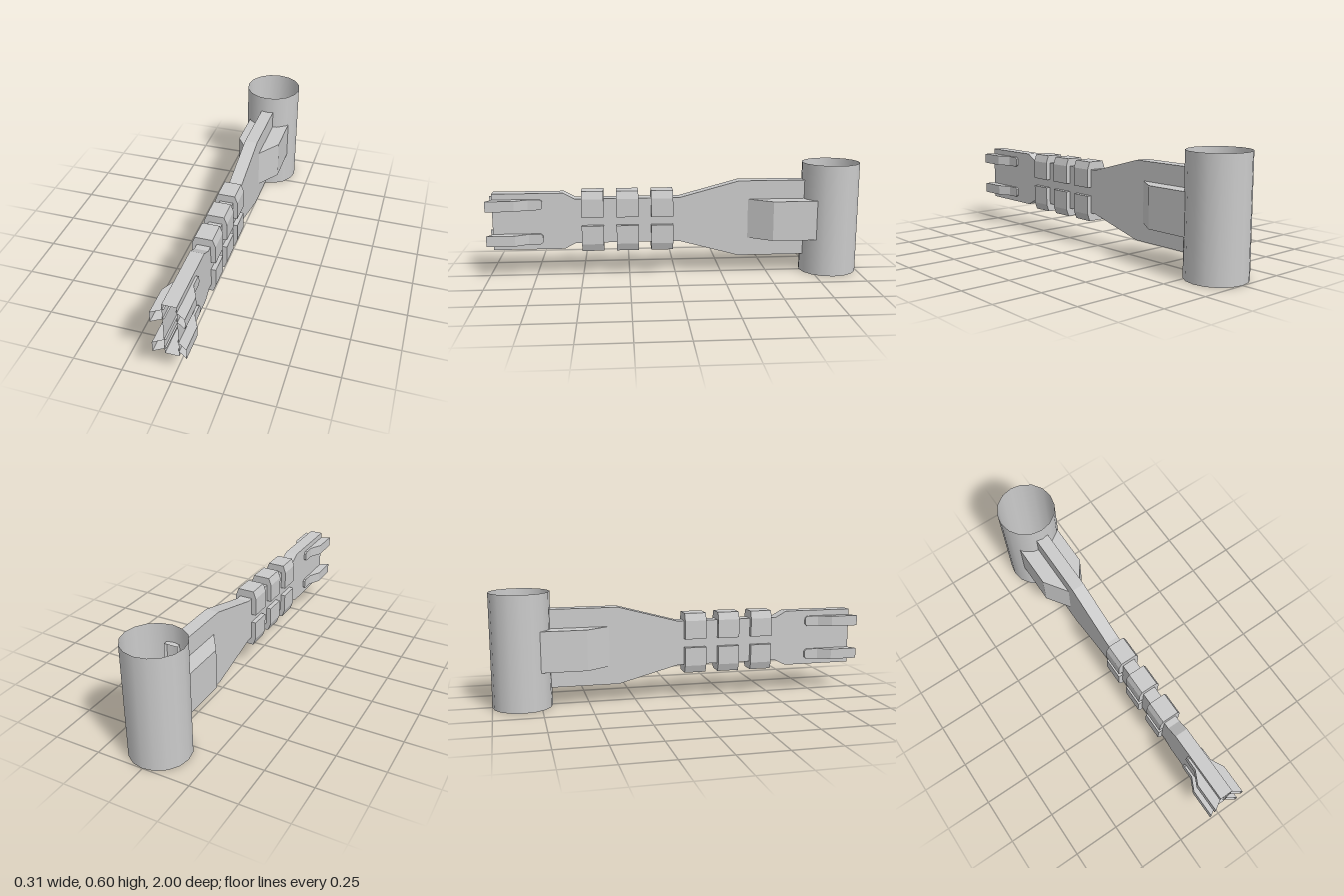
import * as THREE from 'three';

const material = new THREE.MeshStandardMaterial({ color: 0xcccccc, side: THREE.DoubleSide });

function addMesh(parent, name, geometry) {
  const mesh = new THREE.Mesh(geometry, material);
  mesh.name = name;
  parent.add(mesh);
  return mesh;
}

// Skin between cross-sections running from +z to -z, flat shaded; ends stay open.
function loft(sections, closed) {
  const pos = [];
  for (let i = 0; i + 1 < sections.length; i++) {
    const a = sections[i], b = sections[i + 1], n = a.length;
    for (let j = 0; j < (closed ? n : n - 1); j++) {
      const k = (j + 1) % n;
      pos.push(...a[j], ...b[j], ...b[k], ...a[j], ...b[k], ...a[k]);
    }
  }
  const geometry = new THREE.BufferGeometry();
  geometry.setAttribute('position', new THREE.Float32BufferAttribute(pos, 3));
  geometry.computeVertexNormals();
  return geometry;
}

// Rectangular section, symmetric in x
const box = (z, lo, hi, w) => [[w, lo, z], [w, hi, z], [-w, hi, z], [-w, lo, z]];

// Channel section on the +x side, open towards the arm
const channel = (z, lo, hi, inner, outer, zInner = z) =>
  [[inner, lo, zInner], [outer, lo, z], [outer, hi, z], [inner, hi, zInner]];

export function createModel() {
  const model = new THREE.Group();

  // Open vertical sleeve at the back
  const sleeve = addMesh(model, 'sleeve', new THREE.CylinderGeometry(0.155, 0.155, 0.6, 16, 1, true));
  sleeve.position.set(0, 0.3, -0.845);

  // Hollow arm, flaring towards both ends
  const stations = [
    [0.97, 0.152, 0.455], [0.595, 0.152, 0.455], [0.535, 0.183, 0.422],
    [-0.02, 0.183, 0.422], [-0.34, 0.097, 0.508], [-0.72, 0.097, 0.508],
  ];
  addMesh(model, 'arm', loft(stations.map(([z, lo, hi]) => box(z, lo, hi, 0.035)), true));

  // Three pairs of grip blocks with chamfered outer edges
  const profile = new THREE.Shape([[-0.06, 0.023], [0.06, 0.023], [0.06, 0.122], [0.045, 0.162],
    [-0.045, 0.162], [-0.06, 0.122]].map(([x, y]) => new THREE.Vector2(x, y)));
  for (const z of [0.385, 0.2, 0.015]) {
    const geometry = new THREE.ExtrudeGeometry(profile, { depth: 0.117, bevelEnabled: false });
    addMesh(model, 'upperGripBlock', geometry).position.set(0, 0.302, z);
    const lower = addMesh(model, 'lowerGripBlock', geometry);
    lower.rotation.z = Math.PI;
    lower.position.set(0, 0.302, z);
  }

  for (const side of [1, -1]) {
    const name = side > 0 ? 'left' : 'right';

    // Side bracket leading into the sleeve
    const bracket = loft([
      channel(-0.38, 0.195, 0.408, 0.028, 0.028),
      channel(-0.515, 0.195, 0.408, 0.028, 0.12),
      channel(-0.775, 0.195, 0.408, 0.028, 0.12),
    ], false);
    addMesh(model, name + 'Bracket', bracket).scale.x = side;

    // Open-fronted prongs with a rounded back end
    for (const y of [0.21, 0.396]) {
      const prong = loft([
        channel(1.0, y - 0.028, y + 0.028, 0.026, 0.082, 0.965),
        channel(0.85, y - 0.028, y + 0.028, 0.026, 0.082),
        channel(0.782, y - 0.028, y + 0.028, 0.026, 0.047),
        channel(0.72, y - 0.028, y + 0.028, 0.026, 0.047),
        channel(0.707, y - 0.018, y + 0.018, 0.026, 0.047),
        channel(0.707, y, y, 0.026, 0.047),
      ], false);
      addMesh(model, name + 'Prong', prong).scale.x = side;
    }
  }
  return model;
}
